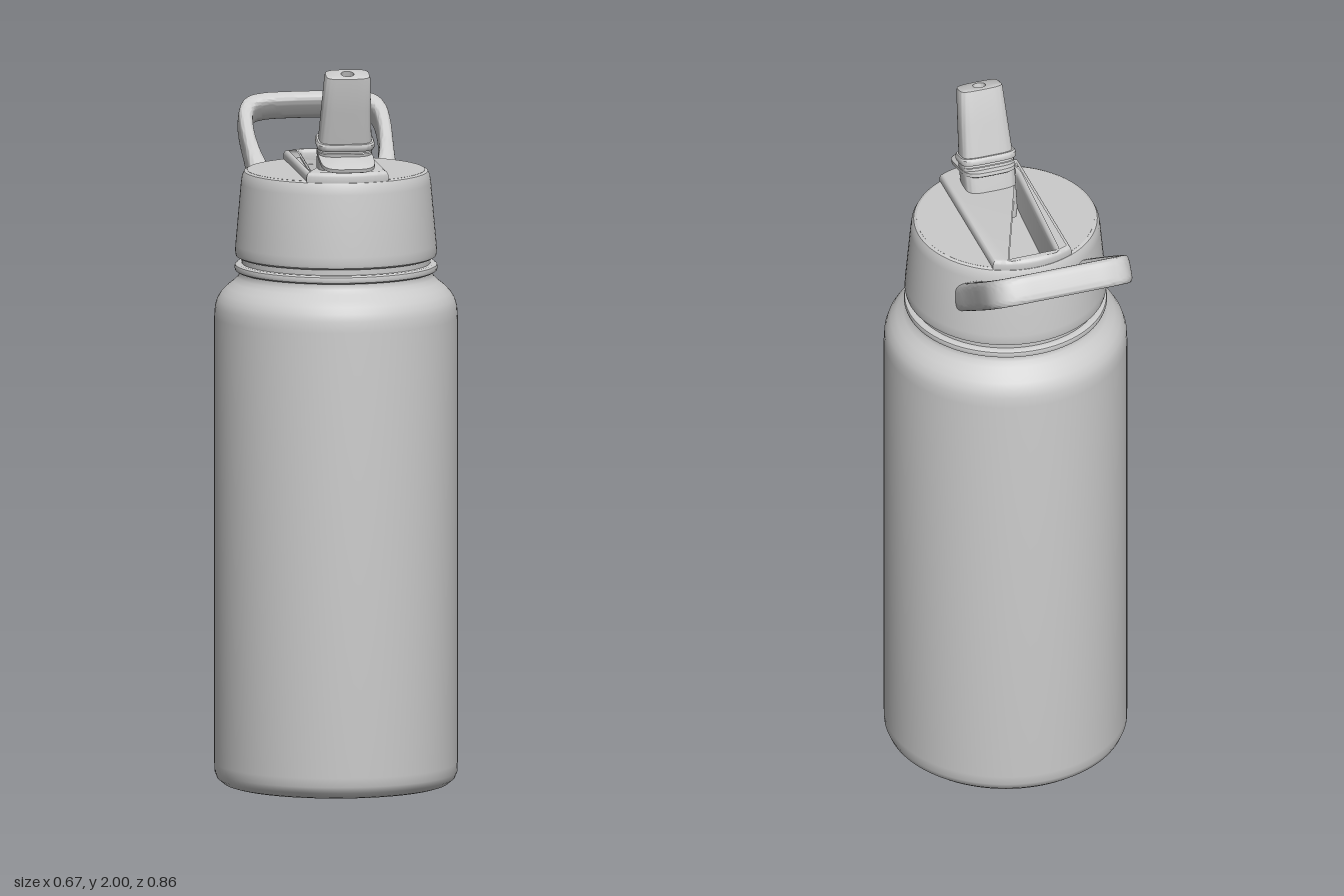
import * as THREE from 'three';
import { toCreasedNormals } from 'three/addons/utils/BufferGeometryUtils.js';

const AXIS_Z = 0.098; // the bottle's axis sits forward of centre; the handle reaches back
const V = (x, y, z) => new THREE.Vector3(x, y, z);
const material = new THREE.MeshStandardMaterial({ color: 0xcccccc, side: THREE.DoubleSide });

function part(name, geometry, crease = 0.6) {
  const mesh = new THREE.Mesh(toCreasedNormals(geometry, crease), material);
  mesh.name = name;
  return mesh;
}

const lathe = (name, profile) =>
  part(name, new THREE.LatheGeometry(profile.map(([r, y]) => new THREE.Vector2(r, y)), 96));

// Rounded-rectangle cross-section with half sizes a along u and b along v
function section(centre, u, v, a, b, power = 4, count = 40) {
  const soft = (t) => Math.sign(t) * Math.abs(t) ** (2 / power);
  return Array.from({ length: count }, (_, j) => {
    const t = (j / count) * Math.PI * 2;
    return centre.clone().addScaledVector(u, a * soft(Math.cos(t))).addScaledVector(v, b * soft(Math.sin(t)));
  });
}

// Skin over successive cross-sections
function loft(sections) {
  const n = sections[0].length, index = [];
  for (let i = 0; i < sections.length - 1; i++) {
    for (let j = 0; j < n; j++) {
      const k = (j + 1) % n, a = i * n, b = a + n;
      index.push(a + j, a + k, b + k, a + j, b + k, b + j);
    }
  }
  const geometry = new THREE.BufferGeometry().setFromPoints(sections.flat());
  geometry.setIndex(index);
  return geometry;
}

// Tapered slot in the lid, in shape space (second axis points backwards)
function slotPath() {
  const p = new THREE.Path();
  p.moveTo(-0.056, 0.228);
  p.lineTo(0.056, 0.228);
  p.quadraticCurveTo(0.066, 0.228, 0.067, 0.215);
  p.lineTo(0.088, -0.155);
  p.quadraticCurveTo(0.088, -0.19, 0.06, -0.19);
  p.lineTo(-0.06, -0.19);
  p.quadraticCurveTo(-0.088, -0.19, -0.088, -0.155);
  p.lineTo(-0.067, 0.215);
  p.quadraticCurveTo(-0.066, 0.228, -0.056, 0.228);
  return p;
}

// Horizontal plate with the slot cut through it, from y0 to y1
function slottedPlate(name, shape, y0, y1, bevel) {
  shape.holes.push(slotPath());
  const geometry = new THREE.ExtrudeGeometry(shape, {
    depth: y1 - y0 - bevel, curveSegments: 48, bevelEnabled: bevel > 0,
    bevelThickness: bevel, bevelSize: bevel, bevelOffset: -bevel, bevelSegments: 3,
  });
  return part(name, geometry.rotateX(-Math.PI / 2).translate(0, y0, 0));
}

function createLid() {
  const lid = new THREE.Group();
  lid.name = 'lid';
  lid.add(lathe('lidSkirt', [
    [0.2, 1.455], [0.266, 1.455], [0.274, 1.46], [0.276, 1.47], [0.275, 1.49],
    [0.26, 1.66], [0.257, 1.68], [0.251, 1.692], [0.242, 1.696],
  ]));

  const disc = new THREE.Shape();
  disc.absarc(0, 0, 0.243, 0, Math.PI * 2);
  lid.add(slottedPlate('lidTop', disc, 1.6, 1.696, 0));

  // Raised strip running front to back, rounded to follow the rim
  const strip = new THREE.Shape(), r = 0.25, a = Math.acos(0.113 / r);
  strip.absarc(0, 0, r, a, Math.PI - a);
  strip.absarc(0, 0, r, Math.PI + a, Math.PI * 2 - a);
  strip.closePath();
  lid.add(slottedPlate('raisedStrip', strip, 1.69, 1.72, 0.012));

  const floor = part('slotFloor', new THREE.CircleGeometry(0.243, 48).rotateX(-Math.PI / 2));
  floor.position.y = 1.602;
  lid.add(floor);
  lid.position.z = AXIS_Z;
  return lid;
}

// Carrying loop: a sloped, flattened bar whose ends sink into the lid
function createHandle() {
  const along = V(0, 0.57, -0.82).normalize(), normal = V(0, 0.82, 0.57).normalize();
  // x, distance along the slope, half width of the bar
  const half = [
    [0.155, 0.96, 0.05], [0.165, 1.02, 0.04], [0.176, 1.08, 0.028], [0.186, 1.16, 0.02], [0.19, 1.25, 0.019],
    [0.183, 1.31, 0.021], [0.165, 1.338, 0.023], [0.13, 1.35, 0.022], [0.07, 1.354, 0.021],
  ];
  const mirrored = half.map(([x, s, w]) => [-x, s, w]).reverse();
  const curve = new THREE.CatmullRomCurve3([...half, [0, 1.355, 0.021], ...mirrored].map((p) => V(...p)));
  const sections = [];
  for (let i = 0; i <= 100; i++) {
    const p = curve.getPoint(i / 100), t = curve.getTangent(i / 100);
    const centre = V(p.x, 0, 0).addScaledVector(along, p.y).addScaledVector(normal, 1.257);
    const tangent = V(t.x, 0, 0).addScaledVector(along, t.y).normalize();
    const side = normal.clone().cross(tangent);
    sections.push(section(centre, side, normal, p.z, 0.039, 4));
  }
  return part('handle', loft(sections), 0.8);
}

// Flip-up drinking spout leaning forward; its origin is the centre of the tip
function createSpout() {
  const spout = new THREE.Group();
  spout.name = 'spout';
  // Each row: height, half depth, half width, depth offset, squareness
  const build = (name, rows) => spout.add(part(name, loft(rows.map(([y, d, w, z = 0, power = 4]) =>
    section(V(0, y, z), V(0, 0, 1), V(1, 0, 0), d, w, power)))));

  build('mouthpiece', [
    [-0.22, 0.042, 0.074], [-0.18, 0.041, 0.071], [-0.1, 0.038, 0.067], [-0.008, 0.034, 0.062],
    [-0.002, 0.033, 0.06], [0, 0.03, 0.057], [0, 0.018, 0.018, 0, 2], [-0.06, 0.018, 0.018, 0, 2],
    [-0.06, 0.0005, 0.0005, 0, 2],
  ]);
  build('collar', [
    [-0.212, 0.04, 0.07], [-0.212, 0.048, 0.078], [-0.207, 0.05, 0.08],
    [-0.197, 0.05, 0.08], [-0.192, 0.047, 0.077], [-0.192, 0.038, 0.068],
  ]);
  build('thumbTab', [
    [-0.244, 0.001, 0.001, 0.03], [-0.244, 0.09, 0.07, 0.03], [-0.241, 0.095, 0.075, 0.03],
    [-0.231, 0.095, 0.075, 0.03], [-0.228, 0.09, 0.07, 0.03], [-0.228, 0.001, 0.001, 0.03],
  ]);
  build('spoutBase', [
    [-0.385, 0.001, 0.001], [-0.385, 0.046, 0.066], [-0.36, 0.05, 0.07], [-0.22, 0.046, 0.074],
  ]);
  spout.position.set(0, 1.99, 0.318);
  spout.rotation.x = 0.27;
  return spout;
}

export function createModel() {
  const model = new THREE.Group();
  model.name = 'waterBottle';

  // Body with stepped rings pressed into the base
  const body = lathe('body', [
    [0, 0.008], [0.035, 0.008], [0.042, 0.013], [0.1, 0.013], [0.107, 0.008], [0.18, 0.008],
    [0.187, 0.013], [0.22, 0.013], [0.228, 0.004], [0.295, 0], [0.308, 0.004], [0.325, 0.018],
    [0.332, 0.035], [0.333, 0.06], [0.333, 1.29], [0.331, 1.32], [0.325, 1.34], [0.314, 1.358],
    [0.298, 1.374], [0.28, 1.388], [0.268, 1.4], [0.264, 1.412], [0.264, 1.42],
  ]);
  const neck = lathe('neckRing', [
    [0.255, 1.416], [0.27, 1.416], [0.276, 1.42], [0.278, 1.427], [0.276, 1.435],
    [0.27, 1.439], [0.258, 1.439], [0.258, 1.46],
  ]);
  body.position.z = neck.position.z = AXIS_Z;

  model.add(body, neck, createLid(), createHandle(), createSpout());
  return model;
}
